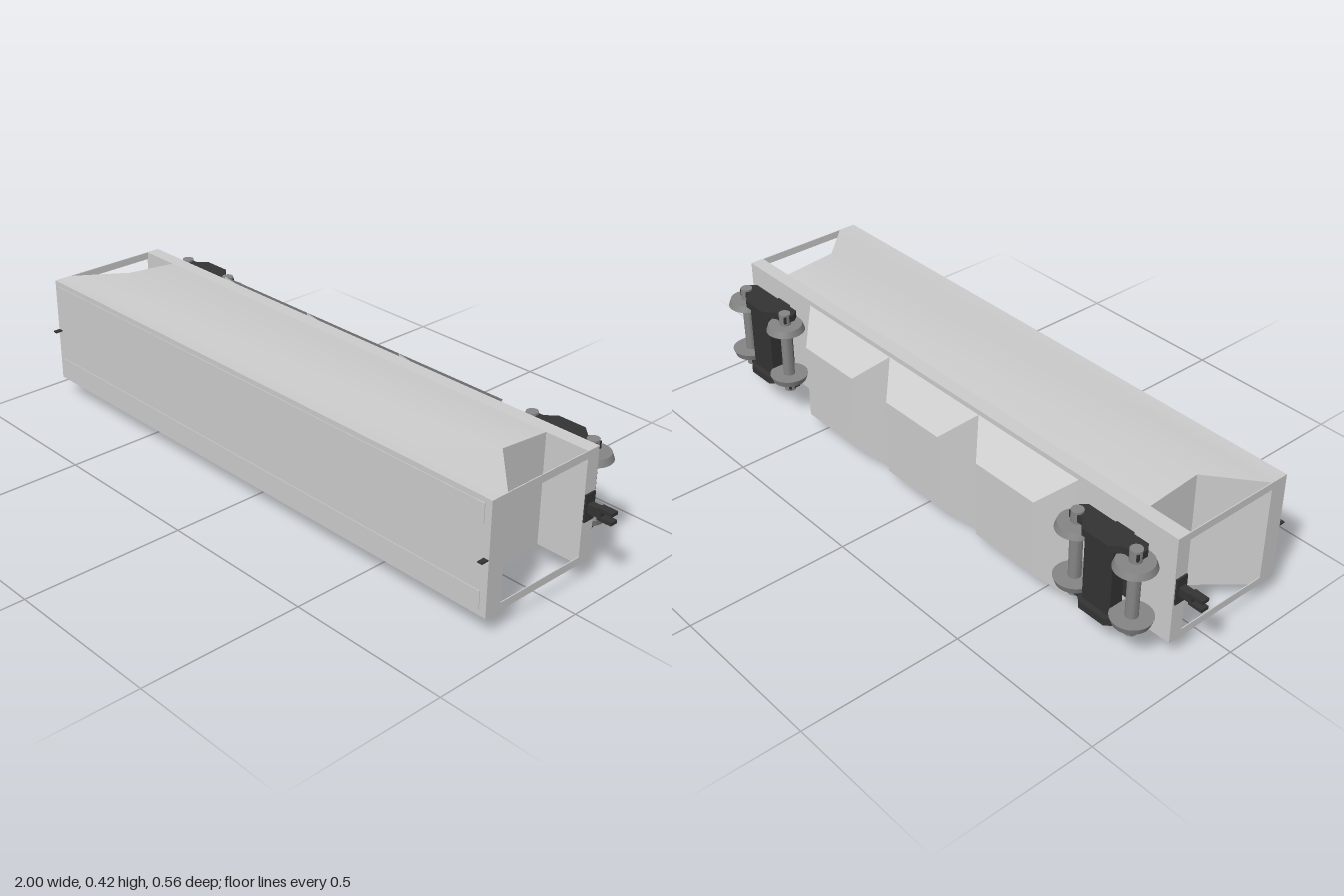
import * as THREE from 'three';
import { toCreasedNormals } from 'three/addons/utils/BufferGeometryUtils.js';

const CY = 0.232; // centre line of the wagon, which lies on its side with its roof towards +z
const mat = (color, side = THREE.FrontSide) => new THREE.MeshStandardMaterial({ color, side });
const grey = mat(0xcccccc);
const greyThin = mat(0xcccccc, THREE.DoubleSide);
const black = mat(0x333333);
const steel = mat(0x858585);

function add(parent, name, geometry, material) {
  const mesh = new THREE.Mesh(geometry, material);
  mesh.name = name;
  parent.add(mesh);
  return mesh;
}

// Box from its limits
function box(parent, name, material, x0, x1, y0, y1, z0, z1) {
  const mesh = add(parent, name, new THREE.BoxGeometry(x1 - x0, y1 - y0, z1 - z0), material);
  mesh.position.set((x0 + x1) / 2, (y0 + y1) / 2, (z0 + z1) / 2);
  return mesh;
}

// Rectangular rings [z, halfX, halfY], joined from low z to high z
function loft(rings, capTop) {
  const corners = [[-1, -1], [1, -1], [1, 1], [-1, 1]];
  const loops = rings.map(([z, hx, hy]) => corners.map(([sx, sy]) => [sx * hx, sy * hy, z]));
  const pos = [];
  const quad = (a, b, c, d) => pos.push(...a, ...b, ...c, ...a, ...c, ...d);
  for (let k = 0; k < loops.length - 1; k++) {
    for (let i = 0; i < 4; i++) {
      const j = (i + 1) % 4;
      quad(loops[k][i], loops[k][j], loops[k + 1][j], loops[k + 1][i]);
    }
  }
  const [a, b, c, d] = loops[0];
  quad(d, c, b, a);
  if (capTop) quad(...loops[loops.length - 1]);
  const geo = new THREE.BufferGeometry();
  geo.setAttribute('position', new THREE.Float32BufferAttribute(pos, 3));
  return toCreasedNormals(geo, 0.4);
}

function makeBogie() {
  const bogie = new THREE.Group();
  bogie.name = 'bogie';
  // Pivot and bolster
  box(bogie, 'pivotPlate', black, -0.03, 0.03, -0.105, 0.105, -0.161, -0.149);
  box(bogie, 'pivot', black, -0.03, 0.03, -0.026, 0.026, -0.205, -0.161);
  box(bogie, 'bolster', black, -0.05, 0.05, -0.112, 0.112, -0.243, -0.2);

  // Side frames
  const shape = new THREE.Shape([
    [-0.045, -0.26], [0.045, -0.26], [0.075, -0.232], [0.12, -0.232], [0.12, -0.195],
    [0.105, -0.178], [-0.105, -0.178], [-0.12, -0.195], [-0.12, -0.232], [-0.075, -0.232],
  ].map(([x, z]) => new THREE.Vector2(x, -z)));
  for (const s of [-1, 1]) {
    const geo = new THREE.ExtrudeGeometry(shape, { depth: 0.022, bevelEnabled: false });
    geo.translate(0, 0, -0.011).rotateX(-Math.PI / 2).scale(1, 1, 1);
    add(bogie, 'sideFrame', geo, black).position.y = s * 0.119;
  }

  // Wheelsets: axle and two tapered wheels, wide rim on the inside
  for (const x of [-0.103, 0.103]) {
    const wheelset = new THREE.Group();
    wheelset.name = 'wheelset';
    wheelset.position.set(x, 0, -0.219);
    add(wheelset, 'axle', toCreasedNormals(new THREE.CylinderGeometry(0.018, 0.018, 0.272, 16), 0.6), steel);
    for (const s of [-1, 1]) {
      const geo = new THREE.CylinderGeometry(s > 0 ? 0.052 : 0.059, s > 0 ? 0.059 : 0.052, 0.02, 32);
      add(wheelset, 'wheel', toCreasedNormals(geo, 0.6), steel).position.y = s * 0.089;
    }
    bogie.add(wheelset);
  }
  return bogie;
}

// Fittings at the +x end; the other end is the same turned about z
function makeEnd() {
  const end = new THREE.Group();
  end.name = 'endFittings';
  for (const s of [-1, 1]) {
    const post = box(end, 'cornerPost', greyThin, 0.914, 0.917, -0.0115, 0.0115, -0.105, 0.2);
    post.position.y = s * 0.1575;
    box(end, 'couplerJaw', black, 0.955, 1, s * 0.013 - 0.005, s * 0.013 + 0.005, -0.138, -0.113);
  }
  box(end, 'couplerPlate', black, 0.912, 0.922, -0.041, 0.041, -0.145, -0.107);
  box(end, 'couplerShank', black, 0.92, 0.965, -0.013, 0.013, -0.137, -0.114);
  box(end, 'roofTab', black, 0.9, 0.915, -0.002, 0.002, 0.25, 0.278);
  return end;
}

export function createModel() {
  const model = new THREE.Group();
  model.name = 'hopperWagon';
  const wagon = new THREE.Group();
  wagon.name = 'wagon';
  wagon.position.y = CY;
  model.add(wagon);

  // Hull: sill, end walls, sloped end sheets, bulging sides and roof
  add(wagon, 'hull', loft([
    [-0.149, 0.917, 0.169], [-0.105, 0.917, 0.169], [-0.105, 0.78, 0.169],
    [0.065, 0.78, 0.184], [0.2, 0.917, 0.169], [0.255, 0.917, 0.169],
  ], true), grey);

  // Long roof strips
  for (const s of [-1, 1]) {
    const strip = box(wagon, 'roofStrip', grey, -0.895, 0.895, -0.028, 0.028, 0.25, 0.257);
    strip.position.y = s * 0.125;
  }

  // Open discharge chutes
  for (const x of [-0.39, -0.002, 0.386]) {
    const chute = add(wagon, 'chute', loft([[-0.243, 0.113, 0.12], [-0.163, 0.194, 0.2]], false), greyThin);
    chute.position.set(x, 0.2 - CY, 0);
  }

  for (const s of [-1, 1]) {
    const bogie = makeBogie();
    bogie.position.x = s * 0.743;
    wagon.add(bogie);
    const end = makeEnd();
    if (s < 0) end.rotation.z = Math.PI;
    wagon.add(end);
  }
  return model;
}
